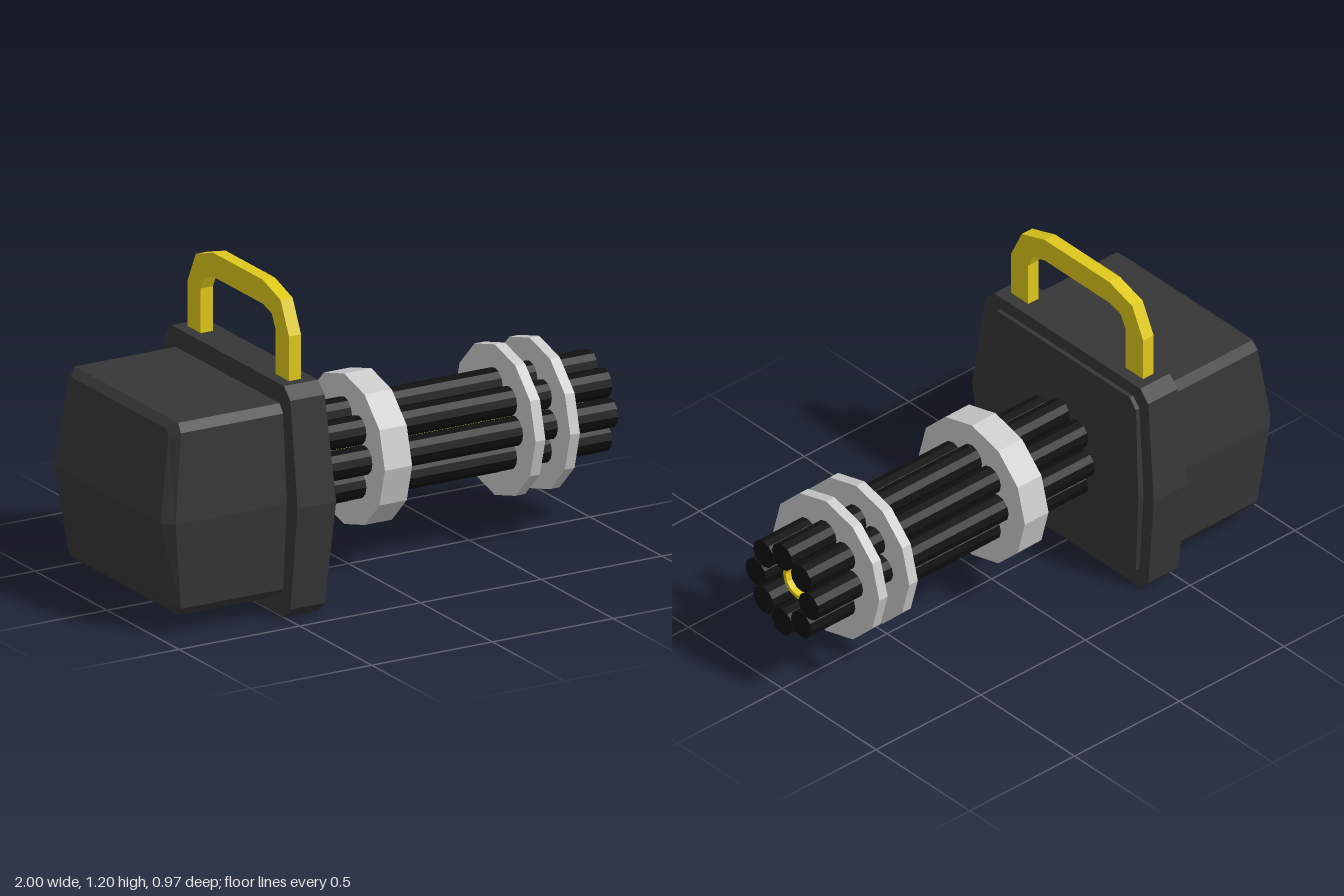
import * as THREE from 'three';

const AXIS_Y = 0.437;
const mat = (color) => new THREE.MeshStandardMaterial({ color, flatShading: true });

// Ten-sided section: bulged sides and chamfered corners, as offsets [z, y] from the axis.
// halfMid: half width at mid height; half/height pairs for the corner and the top edge.
function section(xMid, xTop, halfMid, halfCorner, hCorner, halfTop, hTop) {
  return [
    [halfMid, 0], [halfCorner, hCorner], [halfTop, hTop], [-halfTop, hTop], [-halfCorner, hCorner],
    [-halfMid, 0], [-halfCorner, -hCorner], [-halfTop, -hTop], [halfTop, -hTop], [halfCorner, -hCorner],
  ].map(([z, y]) => [xMid + (xTop - xMid) * Math.abs(y) / hTop, AXIS_Y + y, z]);
}

// Skin the sections in order of rising x; each cap is two halves folded at mid height.
function loft(sections) {
  const pos = [];
  const tri = (a, b, c) => pos.push(...a, ...b, ...c);
  for (let s = 0; s < sections.length - 1; s++) {
    const A = sections[s], B = sections[s + 1];
    for (let i = 0; i < A.length; i++) {
      const j = (i + 1) % A.length;
      tri(A[i], B[i], A[j]);
      tri(A[j], B[i], B[j]);
    }
  }
  const first = sections[0], last = sections[sections.length - 1];
  for (const start of [0, 5]) {
    for (let k = 1; k < 5; k++) {
      const i = start + k, j = (start + k + 1) % 10;
      tri(first[start], first[i], first[j]);
      tri(last[start], last[j], last[i]);
    }
  }
  const geo = new THREE.BufferGeometry();
  geo.setAttribute('position', new THREE.Float32BufferAttribute(pos, 3));
  geo.computeVertexNormals();
  return geo;
}

// Cylinder lying along x between x0 and x1
function rod(radius, x0, x1, sides) {
  return new THREE.CylinderGeometry(radius, radius, x1 - x0, sides)
    .rotateZ(-Math.PI / 2).translate((x0 + x1) / 2, AXIS_Y, 0);
}

export function createModel() {
  const group = new THREE.Group();
  const dark = mat(0x363636), black = mat(0x101010), yellow = mat(0xdec81c), grey = mat(0xcccccc);
  const add = (name, geo, material) => {
    const mesh = new THREE.Mesh(geo, material);
    mesh.name = name;
    group.add(mesh);
    return mesh;
  };

  // Rear housing with a chamfered, peaked back
  add('housing', loft([
    section(-1, -0.95, 0.37, 0.35, 0.31, 0.33, 0.335),
    section(-0.96, -0.92, 0.41, 0.385, 0.33, 0.36, 0.362),
    section(-0.48, -0.48, 0.41, 0.385, 0.33, 0.36, 0.362),
  ]), dark);

  // Wide plate and the raised panel on its front
  add('plate', loft([
    section(-0.5, -0.5, 0.485, 0.435, 0.392, 0.39, 0.435),
    section(-0.34, -0.36, 0.485, 0.435, 0.392, 0.39, 0.435),
  ]), dark);
  add('frontPanel', loft([
    section(-0.4, -0.4, 0.43, 0.39, 0.35, 0.355, 0.386),
    section(-0.315, -0.342, 0.43, 0.39, 0.35, 0.355, 0.386),
  ]), dark);

  // Carrying handle: half outline mirrored to the other side
  const outer = [[0.353, 0.86], [0.353, 1.04], [0.295, 1.16], [0.172, 1.2]];
  const inner = [[0.26, 0.86], [0.26, 1.04], [0.233, 1.092], [0.172, 1.11]];
  const flip = (pts) => pts.map(([z, y]) => [-z, y]).reverse();
  const outline = [...outer, ...flip(outer), ...flip(inner).reverse(), ...inner.slice().reverse()];
  const handle = new THREE.Shape(outline.map(([z, y]) => new THREE.Vector2(z, y)));
  add('handle', new THREE.ExtrudeGeometry(handle, { depth: 0.05, bevelEnabled: false })
    .rotateY(Math.PI / 2).translate(-0.457, 0, 0), yellow);

  // Ring of eight barrels
  const barrels = new THREE.Group();
  barrels.name = 'barrels';
  const barrelGeo = rod(0.0545, -0.36, 1, 12);
  for (let i = 0; i < 8; i++) {
    const a = i * Math.PI / 4;
    const barrel = new THREE.Mesh(barrelGeo, black);
    barrel.name = 'barrel';
    barrel.position.set(0, Math.sin(a) * 0.142, Math.cos(a) * 0.142);
    barrels.add(barrel);
  }
  group.add(barrels);

  // Discs that hold the barrels
  [[-0.018, 0.095], [0.606, 0.647], [0.75, 0.79]].forEach(([x0, x1]) =>
    add('barrelDisc', rod(0.283, x0, x1, 12), grey));

  // Central shaft with a recessed end
  const profile = [[0, -0.3], [0.075, -0.3], [0.075, 0.93], [0.06, 0.93], [0.06, 0.88], [0, 0.88]];
  add('centreShaft', new THREE.LatheGeometry(profile.map(([r, y]) => new THREE.Vector2(r, y)), 12)
    .rotateZ(-Math.PI / 2).translate(0, AXIS_Y, 0), yellow);

  return group;
}
